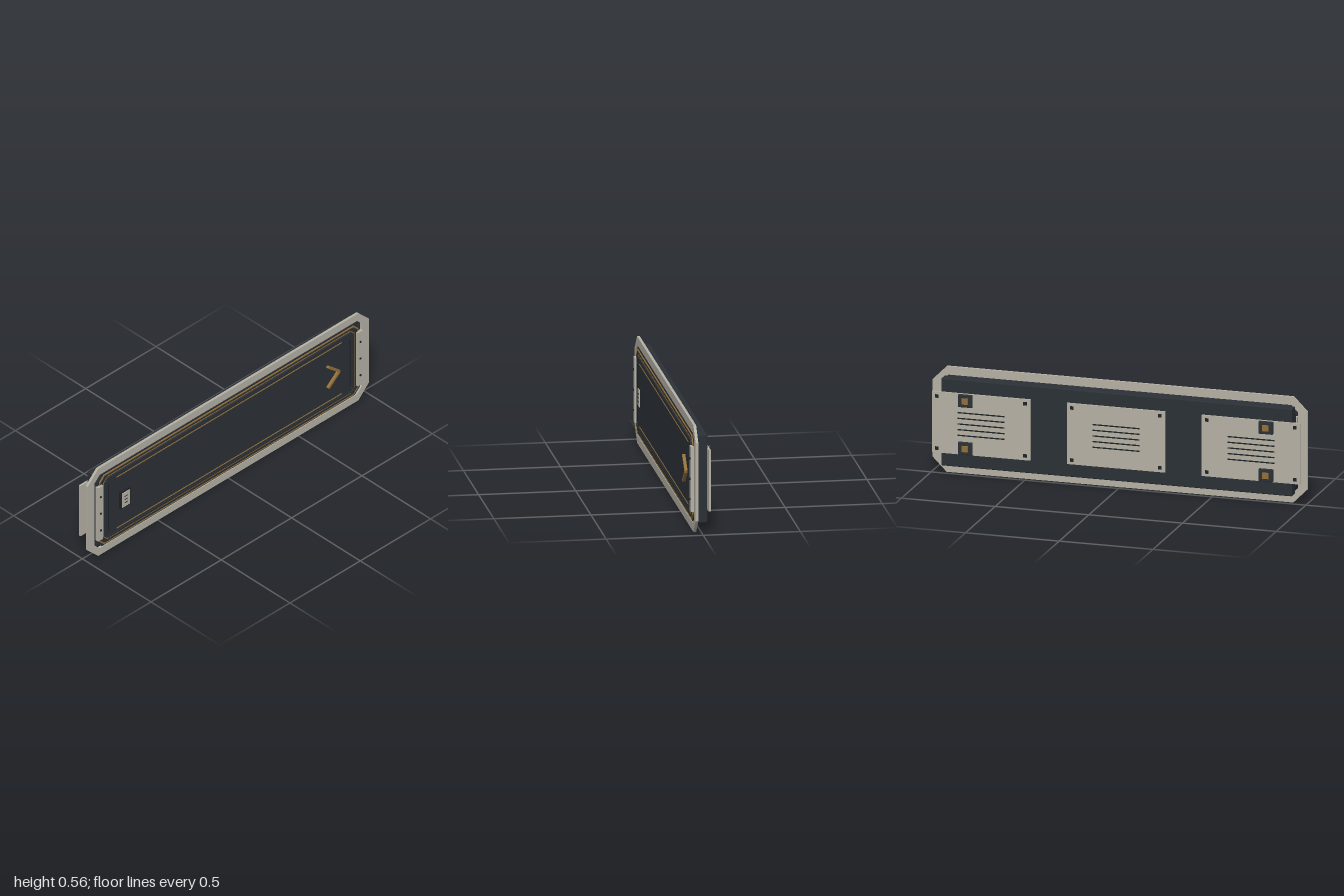
import * as THREE from 'three';
import { RoundedBoxGeometry } from 'three/addons/geometries/RoundedBoxGeometry.js';

const mat = (color) => new THREE.MeshStandardMaterial({ color });
const dark = mat(0x2b3136), darker = mat(0x1d2225), pale = mat(0xb5b1a5), gold = mat(0x94703a);
const CY = 0.28; // height of the sign's centre line

export function createModel() {
  const root = new THREE.Group();

  const add = (name, geometry, material, parent = root) => {
    const mesh = new THREE.Mesh(geometry, material);
    mesh.name = name;
    parent.add(mesh);
    return mesh;
  };

  // box centred at x, y and spanning z0..z1
  const box = (name, w, h, z0, z1, x, y, material, parent = root) => {
    const mesh = add(name, new THREE.BoxGeometry(w, h, z1 - z0), material, parent);
    mesh.position.set(x, y, (z0 + z1) / 2);
    return mesh;
  };

  // rectangle with cut corners, given half sizes
  const octagon = (a, b, c, Type = THREE.Shape) => new Type([
    [a, c - b], [a, b - c], [a - c, b], [c - a, b],
    [-a, b - c], [-a, c - b], [c - a, -b], [a - c, -b],
  ].map(([x, y]) => new THREE.Vector2(x, y)));

  // extruded octagonal plate, with an optional octagonal opening
  const plate = (name, outer, inner, z0, z1, material) => {
    const shape = octagon(...outer);
    if (inner) shape.holes.push(octagon(...inner, THREE.Path));
    const geometry = new THREE.ExtrudeGeometry(shape, { depth: z1 - z0, bevelEnabled: false });
    add(name, geometry, material).position.set(0, CY, z0);
  };

  // outer frame and housing
  plate('outerFrame', [1, 0.28, 0.075], [0.95, 0.236, 0.035], 0.025, 0.039, pale);
  const body = add('housing', new RoundedBoxGeometry(1.872, 0.464, 0.055, 2, 0.006), dark);
  body.position.set(0, CY, -0.0045);

  // stepped bezel with gold inlays
  plate('bezelBase', [0.935, 0.231, 0.035], null, 0.02, 0.039, dark);
  plate('outerInlay', [0.92, 0.222, 0.032], [0.914, 0.216, 0.03], 0.038, 0.0445, gold);
  plate('bezelStep', [0.914, 0.216, 0.03], [0.89, 0.203, 0.028], 0.038, 0.043, dark);
  plate('innerInlay', [0.894, 0.202, 0.028], [0.89, 0.198, 0.027], 0.038, 0.0435, gold);
  plate('bezelRim', [0.885, 0.193, 0.022], [0.872, 0.18, 0.018], 0.038, 0.048, dark);
  plate('facePanel', [0.885, 0.193, 0.022], null, 0.038, 0.0455, dark);

  for (const s of [-1, 1]) {
    // thin trim lines on the face
    box('faceTrim', 1.6, 0.005, 0.045, 0.048, 0, CY + s * 0.164, gold);
    box('faceEndLine', 0.005, 0.3, 0.045, 0.048, s * 0.858, CY, darker);

    // screwed strips at both ends
    box('endStrip', 0.036, 0.343, 0.036, 0.055, s * 0.923, CY, pale);
    for (const y of [-0.107, 0, 0.107]) {
      const screw = add('endScrew', new THREE.CylinderGeometry(0.006, 0.006, 0.006, 12), darker);
      screw.rotation.x = Math.PI / 2;
      screw.position.set(s * 0.923, CY + y, 0.0555);
    }
  }

  // arrow chevron
  const chevron = new THREE.Group();
  chevron.name = 'chevron';
  root.add(chevron);
  for (const s of [-1, 1]) {
    const bar = box('chevronBar', 0.105, 0.013, 0.045, 0.061, 0.733, CY + s * 0.034, gold, chevron);
    bar.rotation.z = -s * 0.71;
  }

  // small indicator
  box('indicatorBezel', 0.07, 0.108, 0.045, 0.056, -0.747, CY + 0.003, darker);
  box('indicatorPlate', 0.052, 0.09, 0.055, 0.06, -0.747, CY + 0.003, pale);
  for (let i = -1; i <= 1; i++)
    box('indicatorLine', 0.026, 0.004, 0.059, 0.0612, -0.747, CY + 0.003 + i * 0.02, darker);

  // rear service plates with slots and corner screws
  for (const x of [-0.72, 0, 0.72]) {
    const panel = new THREE.Group();
    panel.name = 'rearPanel';
    panel.position.set(x, CY, 0);
    root.add(panel);
    box('rearPlate', 0.525, 0.323, -0.042, -0.031, 0, 0, pale, panel);
    for (let i = -2; i <= 2; i++)
      box('ventSlot', 0.25, 0.006, -0.0445, -0.041, 0, i * 0.03, darker, panel);
    for (const sx of [-1, 1]) for (const sy of [-1, 1])
      box('cornerScrew', 0.018, 0.018, -0.0445, -0.041, sx * 0.235, sy * 0.138, darker, panel);
  }

  // rear mounting latches
  for (const sx of [-1, 1]) for (const sy of [-1, 1]) {
    const block = add('latchBlock', new RoundedBoxGeometry(0.076, 0.067, 0.016, 2, 0.004), dark);
    block.position.set(sx * 0.802, CY + sy * 0.126, -0.047);
    box('latchButton', 0.034, 0.032, -0.061, -0.05, sx * 0.802, CY + sy * 0.126, gold);
  }

  return root;
}
